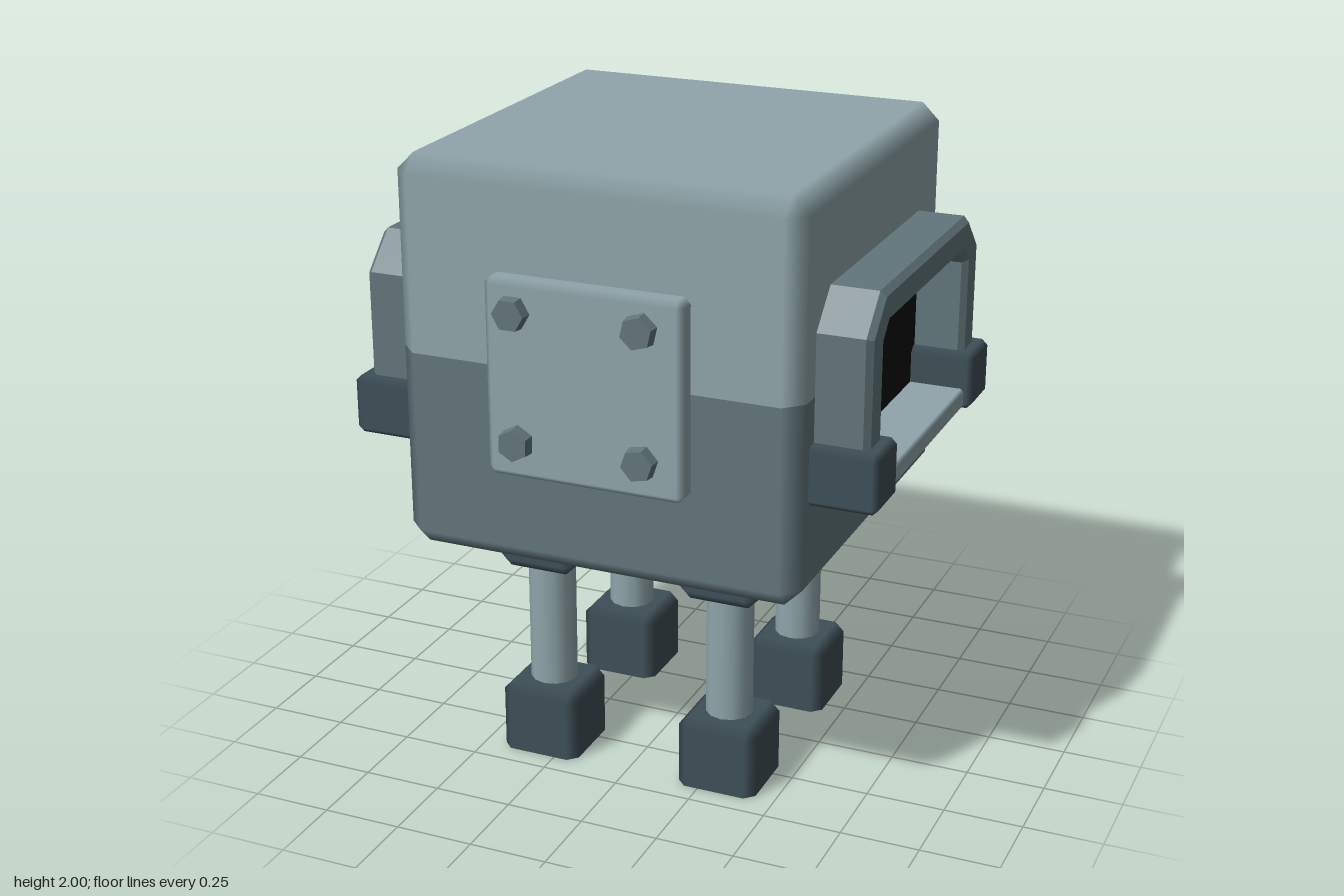
import * as THREE from 'three';

const paint = (name, color) => Object.assign(new THREE.MeshStandardMaterial({ color }), { name });

// Box with chamfered edges; faces stay flat and chamfers shade softly.
// b: side chamfer, top and bottom: vertical inset of the chamfer at each end
function chamferBox(w, h, d, b, top = b, bottom = b) {
  const half = [w / 2, h / 2, d / 2];
  const pos = [], nor = [], idx = [];
  const id = (axis, s) => axis * 8 + (s[0] > 0 ? 4 : 0) + (s[1] > 0 ? 2 : 0) + (s[2] > 0 ? 1 : 0);
  for (let axis = 0; axis < 3; axis++)
    for (const sx of [-1, 1]) for (const sy of [-1, 1]) for (const sz of [-1, 1]) {
      const s = [sx, sy, sz];
      const inset = [b, sy > 0 ? top : bottom, b];
      for (let k = 0; k < 3; k++) {
        pos.push(s[k] * (half[k] - (k === axis ? 0 : inset[k])));
        nor.push(k === axis ? s[k] : 0);
      }
    }
  const vec = (arr, i) => new THREE.Vector3().fromArray(arr, i * 3);
  // Wind each triangle to agree with its vertex normals
  const tri = (a, c, e) => {
    const n = vec(pos, c).sub(vec(pos, a)).cross(vec(pos, e).sub(vec(pos, a)));
    const out = vec(nor, a).add(vec(nor, c)).add(vec(nor, e));
    if (n.length() > 1e-9) idx.push(...(n.dot(out) > 0 ? [a, c, e] : [a, e, c]));
  };
  const quad = (a, c, e, f) => { tri(a, c, e); tri(a, e, f); };
  for (let a = 0; a < 3; a++) {
    const p = (a + 1) % 3, q = (a + 2) % 3;
    const at = (sa, sp, sq) => { const s = []; s[a] = sa; s[p] = sp; s[q] = sq; return s; };
    for (const s of [-1, 1]) {
      quad(id(a, at(s, -1, -1)), id(a, at(s, 1, -1)), id(a, at(s, 1, 1)), id(a, at(s, -1, 1)));
      for (const t of [-1, 1])
        quad(id(a, at(s, t, -1)), id(a, at(s, t, 1)), id(p, at(s, t, 1)), id(p, at(s, t, -1)));
    }
  }
  for (const x of [-1, 1]) for (const y of [-1, 1]) for (const z of [-1, 1])
    tri(id(0, [x, y, z]), id(1, [x, y, z]), id(2, [x, y, z]));
  const g = new THREE.BufferGeometry();
  g.setAttribute('position', new THREE.Float32BufferAttribute(pos, 3));
  g.setAttribute('normal', new THREE.Float32BufferAttribute(nor, 3));
  g.setIndex(idx);
  return g;
}

const shapeOf = (points) => new THREE.Shape(points.map(([x, y]) => new THREE.Vector2(x, y)));

// Extrusion from z = 0 to z = depth with a bevel that stays inside the outline
function bevelled(shape, depth, bevel) {
  const g = new THREE.ExtrudeGeometry(shape, {
    depth: depth - 2 * bevel, bevelEnabled: true, bevelThickness: bevel,
    bevelSize: bevel, bevelOffset: -bevel, bevelSegments: 1,
  });
  return g.translate(0, 0, bevel);
}

export function createModel() {
  const light = paint('paleSteel', 0x8fa5aa);
  const mid = paint('greySteel', 0x62767b);
  const dark = paint('darkSteel', 0x3e4f57);
  const black = paint('blackOpening', 0x0d0d0d);

  const root = new THREE.Group();
  root.name = 'boxRobot';
  root.position.z = -0.005;
  const add = (parent, name, geometry, material, x = 0, y = 0, z = 0) => {
    const mesh = new THREE.Mesh(geometry, material);
    mesh.name = name;
    mesh.position.set(x, y, z);
    parent.add(mesh);
    return mesh;
  };

  // Two-tone body
  add(root, 'upperBody', chamferBox(1.28, 0.6, 1.28, 0.055, 0.055, 0), light, 0, 1.7, 0);
  add(root, 'lowerBody', chamferBox(1.28, 0.63, 1.28, 0.055, 0, 0.055), mid, 0, 1.085, 0);

  // Legs
  for (const sx of [-1, 1]) for (const sz of [-1, 1]) {
    const leg = new THREE.Group();
    leg.name = (sz > 0 ? 'front' : 'back') + (sx > 0 ? 'Left' : 'Right') + 'Leg';
    leg.position.set(sx * 0.305, 0, sz * 0.305);
    add(leg, 'hipCollar', chamferBox(0.26, 0.15, 0.26, 0.035, 0, 0.035), dark, 0, 0.715, 0);
    add(leg, 'legPost', new THREE.CylinderGeometry(0.075, 0.075, 0.52, 12), light, 0, 0.44, 0);
    add(leg, 'foot', chamferBox(0.26, 0.23, 0.26, 0.03, 0.03, 0), dark, 0, 0.115, 0);
    root.add(leg);
  }

  // Side bays: arch, dark opening, sill and corner blocks
  const archShape = shapeOf([
    [-0.517, 1.16], [-0.517, 1.59], [-0.407, 1.7], [0.407, 1.7], [0.517, 1.59], [0.517, 1.16],
    [0.402, 1.16], [0.402, 1.55], [0.362, 1.592], [-0.362, 1.592], [-0.402, 1.55], [-0.402, 1.16],
  ]);
  const archGeometry = bevelled(archShape, 0.185, 0.018).rotateY(Math.PI / 2);
  for (const side of [1, -1]) {
    const bay = new THREE.Group();
    bay.name = side > 0 ? 'leftBay' : 'rightBay';
    bay.rotation.y = side > 0 ? 0 : Math.PI;
    add(bay, 'bayArch', archGeometry, mid, 0.62, 0, 0);
    add(bay, 'bayOpening', new THREE.BoxGeometry(0.008, 0.48, 0.84), black, 0.641, 1.365, 0);
    add(bay, 'baySill', chamferBox(0.2, 0.065, 0.8, 0.01), light, 0.722, 1.112, 0);
    for (const z of [-0.463, 0.463])
      add(bay, 'cornerBlock', chamferBox(0.225, 0.185, 0.185, 0.018), dark, 0.734, 1.168, z);
    root.add(bay);
  }

  // Front plate with four hexagonal bolts
  add(root, 'frontPlate', chamferBox(0.625, 0.61, 0.08, 0.02), light, 0, 1.385, 0.663);
  const bolts = [[-0.215, 1.595, 0], [0.185, 1.595, 0.3], [-0.21, 1.197, 0.5], [0.185, 1.197, 0.2]];
  for (const [x, y, turn] of bolts) {
    const g = new THREE.CylinderGeometry(0.05, 0.055, 0.045, 6).toNonIndexed();
    g.computeVertexNormals();
    g.rotateY(Math.PI / 6).rotateX(Math.PI / 2);
    add(root, 'bolt', g, mid, x, y, 0.718).rotation.z = turn;
  }

  // Back vent: slotted plate with sloping slats inside
  const vent = new THREE.Group();
  vent.name = 'backVent';
  vent.position.set(0, 1.385, -0.64);
  vent.rotation.y = Math.PI;
  const c = 0.015, W = 0.3125, H = 0.305;
  const plate = shapeOf([
    [-W + c, -H], [W - c, -H], [W, -H + c], [W, H - c], [W - c, H], [-W + c, H], [-W, H - c], [-W, -H + c],
  ]);
  const slots = [-0.115, 0, 0.115];
  for (const y of slots)
    plate.holes.push(new THREE.Path([[-0.24, -0.035], [-0.24, 0.035], [0.24, 0.035], [0.24, -0.035]]
      .map(([px, py]) => new THREE.Vector2(px, y + py))));
  add(vent, 'ventPlate', bevelled(plate, 0.092, 0.02), light);
  add(vent, 'ventBacking', new THREE.BoxGeometry(0.54, 0.36, 0.006), dark, 0, 0, 0.008);
  for (const y of slots)
    add(vent, 'ventSlat', new THREE.BoxGeometry(0.51, 0.012, 0.075), mid, 0, y - 0.015, 0.042).rotation.x = 0.6;
  root.add(vent);

  const model = new THREE.Group();
  model.name = 'model';
  model.add(root);
  return model;
}
